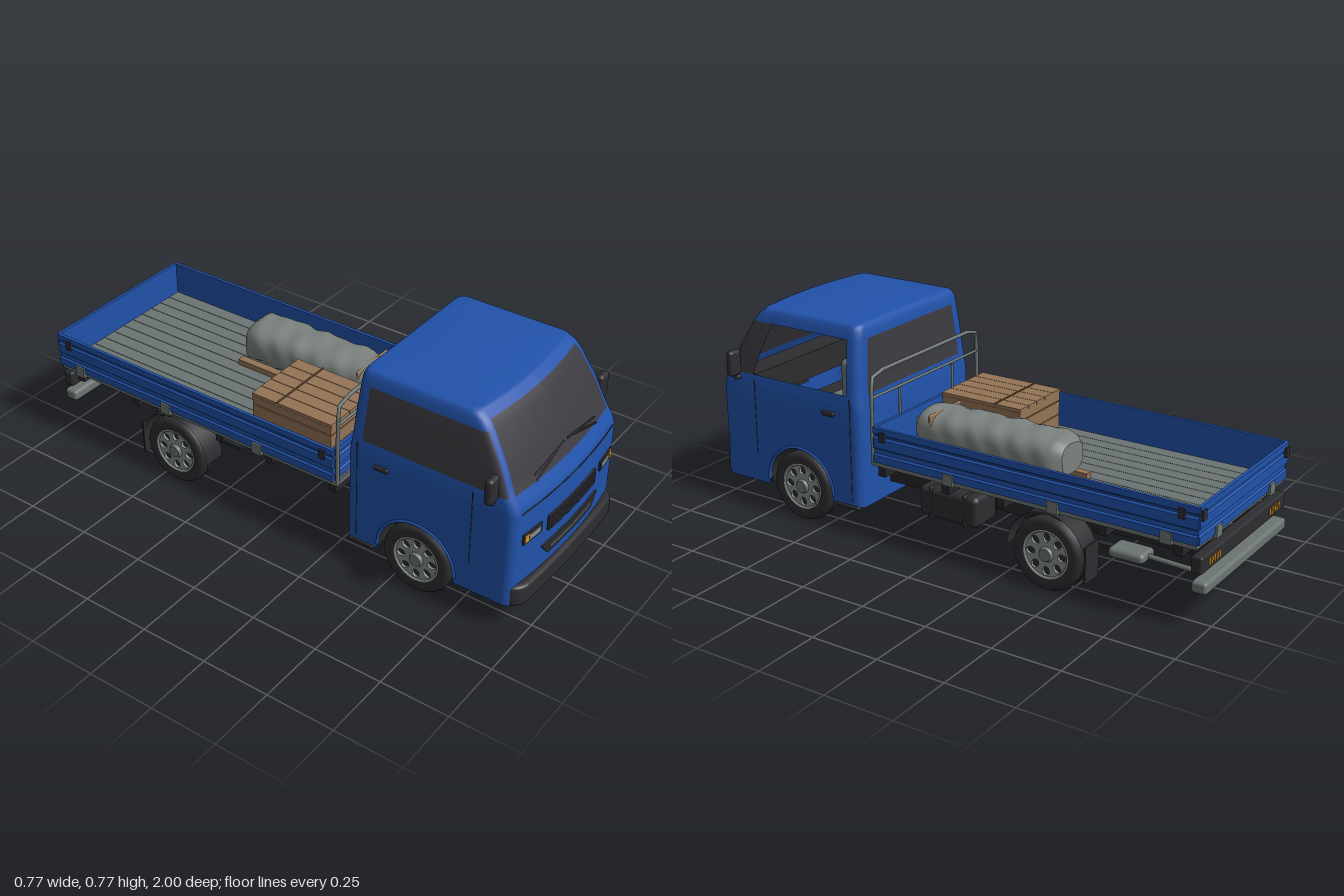
import * as THREE from 'three';
import { RoundedBoxGeometry } from 'three/addons/geometries/RoundedBoxGeometry.js';

const mat = (name, color, side = THREE.FrontSide) => {
  const m = new THREE.MeshStandardMaterial({ color, side });
  m.name = name;
  return m;
};
const blue = mat('blue paint', 0x2152aa, THREE.DoubleSide);
const glass = mat('dark glass', 0x3a3a40, THREE.DoubleSide);
const black = mat('black trim', 0x2d2d31, THREE.DoubleSide);
const chassisMat = mat('chassis', 0x26272b);
const steel = mat('steel', 0x6c7573);
const silver = mat('silver', 0x868d89);
const tarp = mat('canvas', 0x7b827e);
const wood = mat('wood', 0x947355);
const darkWood = mat('dark wood', 0x6b5039);
const amber = mat('amber', 0xdb982f);

// Cab profile rows: height, front z, back z, half width
const PROFILE = [
  [0.11, 0.98, 0.322, 0.335], [0.46, 0.98, 0.322, 0.335], [0.49, 0.97, 0.326, 0.333],
  [0.52, 0.95, 0.33, 0.33], [0.62, 0.905, 0.336, 0.318], [0.715, 0.85, 0.343, 0.304],
  [0.742, 0.828, 0.346, 0.298], [0.757, 0.808, 0.352, 0.292],
];
const R = 0.032, BULGE = 0.022, ARCH = 0.146, AXLES = [0.6, -0.433], HUB = 0.131;
const lerp = THREE.MathUtils.lerp;

function section(y) {
  let i = 1;
  while (i < PROFILE.length - 1 && PROFILE[i][0] < y) i++;
  const a = PROFILE[i - 1], b = PROFILE[i];
  const k = THREE.MathUtils.clamp((y - a[0]) / (b[0] - a[0]), 0, 1);
  return [1, 2, 3].map((n) => lerp(a[n], b[n], k));
}
function frontZ(x, y) {
  const [zf, , w] = section(y);
  return zf - BULGE * Math.min(1, (x / (w - R)) ** 2);
}

function add(parent, name, geometry, material, x = 0, y = 0, z = 0) {
  const m = new THREE.Mesh(geometry, material);
  m.name = name;
  m.position.set(x, y, z);
  parent.add(m);
  return m;
}
const box = (p, name, material, w, h, d, x, y, z) => add(p, name, new THREE.BoxGeometry(w, h, d), material, x, y, z);
const rounded = (p, name, material, w, h, d, r, x, y, z) => add(p, name, new RoundedBoxGeometry(w, h, d, 3, r), material, x, y, z);
function tube(p, name, material, pts, r) {
  const path = new THREE.CurvePath();
  const v = pts.map((q) => new THREE.Vector3(...q));
  for (let i = 1; i < v.length; i++) path.add(new THREE.LineCurve3(v[i - 1], v[i]));
  return add(p, name, new THREE.TubeGeometry(path, (v.length - 1) * 4, r, 8), material);
}
// Plate that follows the curve of the cab front; taper narrows its lower edge
function frontPlate(p, name, material, w, h, d, x, y, lift = 0, taper = 0) {
  const g = new THREE.BoxGeometry(w, h, d, 10, 1, 1), a = g.attributes.position;
  for (let i = 0; i < a.count; i++) {
    const px = x + a.getX(i) * (a.getY(i) < 0 ? 1 - taper : 1), py = y + a.getY(i);
    a.setXYZ(i, px, py, a.getZ(i) + frontZ(px, py) + lift);
  }
  g.computeVertexNormals();
  return add(p, name, g, material);
}

// One half of the cab skin: columns run from front centre to back centre, rows run upwards
function cabHalf(side) {
  const cols = [];
  const col = (kind, f, yb = 0.11) => cols.push({ kind, f, yb });
  [0, 0.35, 0.7, 1].forEach((s) => col(s < 1 ? 'windscreen' : 'pillar', (zf, zb, w) => [s * (w - R), zf - BULGE * s * s]));
  [1, 2, 3, 4].forEach((k) => {
    const a = k * Math.PI / 8;
    col(k < 2 ? 'pillar' : 'quarter', (zf, zb, w) => [w - R + R * Math.sin(a), zf - BULGE - R + R * Math.cos(a)]);
  });
  const z0 = 0.98 - BULGE - R, z1 = 0.322 + R;
  const sideCol = (kind, z, yb) => {
    const t = (z0 - z) / (z0 - z1);
    col(kind, (zf, zb, w) => [w, lerp(zf - BULGE - R, zb + R, t)], yb);
  };
  [0.88, 0.83, 0.79, AXLES[0] + ARCH + 0.0005].forEach((z) => sideCol(z > 0.84 ? 'quarter' : 'door', z));
  for (let k = 0; k <= 16; k++) {
    const a = k * Math.PI / 16;
    sideCol('door', AXLES[0] + ARCH * Math.cos(a), HUB + ARCH * Math.sin(a));
  }
  [AXLES[0] - ARCH - 0.0005, 0.41, 0.375, z1].forEach((z) => sideCol(z > 0.38 ? 'door' : 'post', z));
  [1, 2, 3, 4].forEach((k) => {
    const a = k * Math.PI / 8;
    col('post', (zf, zb, w) => [w - R + R * Math.cos(a), zb + R - R * Math.sin(a)]);
  });
  [0.92, 0.45, 0].forEach((s) => col('rear', (zf, zb, w) => [s * (w - R), zb]));

  const upper = [0.49, 0.52, 0.57, 0.62, 0.67, 0.715, 0.742, 0.757];
  const roof = [[0.975, 0.764], [0.93, 0.768], [0.75, 0.771], [0.4, 0.772], [0, 0.773]];
  const rows = 5 + upper.length + roof.length, pos = [], paint = [], panes = [];
  cols.forEach(({ f, yb }) => {
    const put = (y, s = 1, top = y) => {
      const [x, z] = f(...section(y));
      pos.push(side * x * s, top, 0.58 + (z - 0.58) * s);
    };
    for (let k = 0; k <= 4; k++) put(lerp(yb, 0.46, k / 4));
    upper.forEach((y) => put(y));
    roof.forEach(([s, y]) => put(0.757, s, y));
  });
  for (let i = 0; i < cols.length - 1; i++) for (let j = 0; j < rows - 1; j++) {
    const kind = cols[i].kind;
    const pane = j >= 6 && j < (kind === 'windscreen' ? 11 : 10) && kind !== 'pillar' && kind !== 'post';
    if (pane && kind === 'door' && side > 0) continue; // left door window is wound down
    const a = i * rows + j, b = a + rows, c = b + 1, d = a + 1;
    (pane ? panes : paint).push(...(side > 0 ? [a, b, c, a, c, d] : [a, c, b, a, d, c]));
  }
  const g = new THREE.BufferGeometry();
  g.setAttribute('position', new THREE.Float32BufferAttribute(pos, 3));
  g.setIndex([...paint, ...panes]);
  g.addGroup(0, paint.length, 0);
  g.addGroup(paint.length, panes.length, 1);
  g.computeVertexNormals();
  return g;
}

function wheel(parent, name, side, z) {
  const w = new THREE.Group();
  w.name = name;
  const half = [[0.083, 0.034], [0.112, 0.0375], [0.125, 0.032], [0.131, 0.02], [0.131, 0.005], [0.126, 0.003]];
  const pts = [...half.map(([r, x]) => [r, -x]), ...half.slice().reverse()].map((q) => new THREE.Vector2(...q));
  add(w, 'tyre', new THREE.LatheGeometry(pts, 36).rotateZ(-Math.PI / 2), black);
  add(w, 'wheelBack', new THREE.CylinderGeometry(0.085, 0.085, 0.03, 32).rotateZ(Math.PI / 2), black);
  const s = new THREE.Shape().absarc(0, 0, 0.086, 0, Math.PI * 2);
  for (let k = 0; k < 8; k++) {
    const a = k * Math.PI / 4;
    s.holes.push(new THREE.Path().absellipse(0.06 * Math.cos(a), 0.06 * Math.sin(a), 0.016, 0.013, 0, Math.PI * 2, true, a));
  }
  add(w, 'rim', new THREE.ExtrudeGeometry(s, { depth: 0.01, bevelEnabled: false, curveSegments: 24 }).rotateY(Math.PI / 2), silver, 0.02);
  add(w, 'rimLip', new THREE.TorusGeometry(0.084, 0.005, 8, 32).rotateY(Math.PI / 2), silver, 0.031);
  add(w, 'hub', new THREE.CylinderGeometry(0.022, 0.028, 0.012, 16).rotateZ(-Math.PI / 2), steel, 0.035);
  w.position.set(side * 0.296, HUB, z);
  if (side < 0) w.rotation.y = Math.PI;
  parent.add(w);
}
const archShell = (r, len) => new THREE.CylinderGeometry(r, r, len, 24, 1, true, 0, Math.PI).rotateZ(Math.PI / 2);

// Ribbed drop side, facing +x before turning
function dropSide(p, name, len, x, z, turn) {
  const pts = [[-0.012, 0.303], [0, 0.303], [0, 0.33], [-0.006, 0.336], [-0.006, 0.352], [0, 0.358], [0, 0.392], [-0.006, 0.398], [-0.006, 0.404], [0, 0.41], [0, 0.432], [-0.012, 0.432]];
  const s = new THREE.Shape(pts.map((q) => new THREE.Vector2(...q)));
  const g = new THREE.ExtrudeGeometry(s, { depth: len, bevelEnabled: false }).translate(0, 0, -len / 2);
  add(p, name, g, blue, x, 0, z).rotation.y = turn;
}

// Lumpy rolled canvas, lofted along z
function bundleGeometry() {
  const n = 28, m = 28, g = new THREE.CylinderGeometry(1, 1, 1, m, n).rotateX(Math.PI / 2), a = g.attributes.position;
  for (let i = 0; i < a.count; i++) {
    const t = a.getZ(i) * 2, x = a.getX(i), y = a.getY(i), ang = Math.atan2(y, x);
    const end = Math.pow(Math.max(0, 1 - Math.abs(t) ** 14), 0.5) * 0.3 + 0.7;
    const lump = 1 + 0.035 * Math.sin(t * 13 + 2 * ang) + 0.025 * Math.sin(t * 21 - ang * 3) - 0.04 * Math.exp(-(((t - 0.68) * 14) ** 2));
    const sq = 1 / Math.pow(Math.abs(Math.cos(ang)) ** 3 + Math.abs(Math.sin(ang)) ** 3, 1 / 3);
    const r = Math.hypot(x, y) * end * lump * sq;
    a.setXYZ(i, Math.cos(ang) * r * 0.097, Math.sin(ang) * r * 0.075, t * 0.295);
  }
  g.computeVertexNormals();
  return g;
}

export function createModel() {
  const truck = new THREE.Group();
  truck.name = 'flatbedTruck';
  const part = (name) => { const g = new THREE.Group(); g.name = name; truck.add(g); return g; };
  const cab = part('cab'), bed = part('cargoBed'), frame = part('chassis'), cargo = part('cargo'), wheels = part('wheels');

  // Cab skin and interior
  box(cab, 'cabFloor', black, 0.46, 0.02, 0.62, 0, 0.12, 0.64);
  box(cab, 'frontFloor', black, 0.62, 0.02, 0.17, 0, 0.12, 0.84);
  box(cab, 'rearFloor', black, 0.64, 0.02, 0.11, 0, 0.12, 0.39);
  box(cab, 'interiorFloor', black, 0.64, 0.01, 0.55, 0, 0.3, 0.63);
  box(cab, 'dashboard', black, 0.6, 0.1, 0.1, 0, 0.46, 0.87);
  for (const s of [1, -1]) {
    add(cab, s > 0 ? 'leftCabSkin' : 'rightCabSkin', cabHalf(s), [blue, glass]);
    rounded(cab, 'seatCushion', steel, 0.2, 0.06, 0.2, 0.02, s * 0.16, 0.4, 0.52);
    rounded(cab, 'seatBack', steel, 0.2, 0.21, 0.05, 0.02, s * 0.16, 0.515, 0.44);
    rounded(cab, 'headrest', steel, 0.12, 0.07, 0.04, 0.018, s * 0.16, 0.655, 0.44);
    add(cab, 'wheelWell', archShell(ARCH, 0.13), black, s * 0.268, HUB, AXLES[0]);
    add(cab, 'archLip', new THREE.TorusGeometry(ARCH + 0.004, 0.006, 6, 28, Math.PI).rotateY(Math.PI / 2), blue, s * 0.334, HUB, AXLES[0]);
    rounded(cab, 'mirror', black, 0.056, 0.095, 0.03, 0.013, s * 0.355, 0.558, 0.875);
    tube(cab, 'mirrorArm', black, [[s * 0.32, 0.5, 0.87], [s * 0.35, 0.5, 0.875], [s * 0.352, 0.53, 0.875]], 0.008);
    rounded(cab, 'doorHandle', black, 0.012, 0.018, 0.055, 0.005, s * 0.337, 0.442, 0.46);
    for (const [z, y, h] of [[0.8, 0.36, 0.28], [0.365, 0.32, 0.38]]) box(cab, 'doorSeam', black, 0.003, h, 0.003, s * 0.335, y, z);
    rounded(cab, 'step', black, 0.1, 0.015, 0.1, 0.006, s * 0.29, 0.107, 0.385);

    // Headlights and wipers
    frontPlate(cab, 'headlightHousing', black, 0.096, 0.038, 0.012, s * 0.242, 0.359);
    frontPlate(cab, 'headlightLens', silver, 0.06, 0.022, 0.006, s * 0.233, 0.358, 0.005);
    frontPlate(cab, 'indicator', amber, 0.02, 0.028, 0.007, s * 0.277, 0.361, 0.006);
    const on = (x, y) => [s * x, y, frontZ(x, y) + 0.005];
    tube(cab, 'wiperArm', black, [on(0.01, 0.566), on(0.1, 0.556), on(0.195, 0.543)], 0.003);
    tube(cab, 'wiperBlade', black, [on(0.05, 0.56), on(0.12, 0.544), on(0.195, 0.525)], 0.003);
  }
  frontPlate(cab, 'panelSeam', black, 0.6, 0.003, 0.003, 0, 0.463);
  frontPlate(cab, 'upperGrille', black, 0.31, 0.057, 0.014, 0, 0.349);
  for (let k = 0; k < 4; k++) frontPlate(cab, 'grilleSlat', glass, 0.285, 0.006, 0.004, 0, 0.33 + k * 0.0125, 0.008);
  frontPlate(cab, 'lowerGrille', black, 0.365, 0.044, 0.014, 0, 0.248, 0, 0.2);
  frontPlate(cab, 'lowerGrilleBar', steel, 0.28, 0.008, 0.004, 0, 0.248, 0.008);

  // Front bumper, wrapped round the corners
  const b = new THREE.Shape();
  b.moveTo(-0.312, -0.895);
  b.lineTo(0.312, -0.895);
  b.lineTo(0.312, -0.935);
  b.quadraticCurveTo(0.31, -0.968, 0.27, -0.975);
  b.quadraticCurveTo(0, -0.992, -0.27, -0.975);
  b.quadraticCurveTo(-0.31, -0.968, -0.312, -0.935);
  add(cab, 'frontBumper', new THREE.ExtrudeGeometry(b, { depth: 0.05, bevelSize: 0.014, bevelThickness: 0.015, bevelSegments: 3 }).rotateX(-Math.PI / 2), black, 0, 0.12, 0);

  // Bed floor, sides and headboard
  box(bed, 'bedBase', steel, 0.655, 0.014, 1.25, 0, 0.293, -0.345);
  for (let k = 0; k < 12; k++) box(bed, 'floorPlank', steel, 0.0515, 0.008, 1.24, (k - 5.5) * 0.0535, 0.303, -0.345);
  dropSide(bed, 'leftDropSide', 1.24, 0.335, -0.355, 0);
  dropSide(bed, 'rightDropSide', 1.24, -0.335, -0.355, Math.PI);
  dropSide(bed, 'tailgate', 0.655, 0, -0.98, Math.PI / 2);
  dropSide(bed, 'frontBoard', 0.645, 0, 0.27, -Math.PI / 2);
  tube(bed, 'headboardFrame', steel, [[0.32, 0.29, 0.278], [0.32, 0.595, 0.278], [0.3, 0.617, 0.278], [-0.3, 0.617, 0.278], [-0.32, 0.595, 0.278], [-0.32, 0.29, 0.278]], 0.007);
  tube(bed, 'headboardRail', steel, [[0.32, 0.53, 0.278], [-0.32, 0.53, 0.278]], 0.005);
  for (const s of [1, -1]) {
    tube(bed, 'headboardPost', steel, [[s * 0.16, 0.42, 0.278], [s * 0.16, 0.53, 0.278]], 0.005);
    for (const z of [0.225, -0.92]) box(bed, 'latch', black, 0.012, 0.035, 0.022, s * 0.336, 0.402, z);
    for (const z of [-0.05, -0.46, -0.87]) box(bed, 'hinge', steel, 0.014, 0.04, 0.04, s * 0.335, 0.308, z);
    box(bed, 'tailHinge', steel, 0.04, 0.04, 0.014, s * 0.2, 0.308, -0.98);
    box(bed, 'tailLatch', black, 0.025, 0.035, 0.012, s * 0.31, 0.402, -0.981);
  }

  // Chassis rails, cross members, axles and underside fittings
  for (const s of [1, -1]) {
    box(frame, 'rail', chassisMat, 0.035, 0.085, 0.85, s * 0.15, 0.203, 0.09);
    box(frame, 'rearRail', chassisMat, 0.035, 0.06, 0.65, s * 0.15, 0.216, -0.63);
    add(frame, 'rearFender', archShell(0.15, 0.085), black, s * 0.29, HUB, AXLES[1]);
    box(frame, 'mudFlap', black, 0.085, 0.13, 0.006, s * 0.29, 0.13, -0.582);
    box(frame, 'leafSpring', chassisMat, 0.03, 0.015, 0.4, s * 0.19, 0.15, AXLES[1]);
    for (let k = 0; k < 5; k++) box(frame, 'tailLight', amber, 0.011, 0.024, 0.006, s * (0.19 + k * 0.018), 0.228, -0.986);
  }
  for (const z of [0.25, -0.02, -0.24, -0.46, -0.63, -0.9]) box(frame, 'crossMember', chassisMat, 0.62, 0.045, 0.03, 0, 0.265, z);
  for (const z of [0.2, -0.2, -0.7]) box(frame, 'railBrace', chassisMat, 0.3, 0.05, 0.03, 0, 0.215, z);
  AXLES.forEach((z) => add(frame, 'axle', new THREE.CylinderGeometry(0.018, 0.018, 0.54, 12).rotateZ(Math.PI / 2), chassisMat, 0, HUB, z));
  add(frame, 'differential', new THREE.SphereGeometry(0.043, 20, 14).scale(1.1, 1, 1.1), chassisMat, 0, HUB, AXLES[1]);
  tube(frame, 'driveShaft', chassisMat, [[0, 0.16, 0.35], [0, HUB, AXLES[1]]], 0.013);
  rounded(frame, 'fuelTank', black, 0.13, 0.112, 0.24, 0.02, 0.235, 0.188, -0.02);
  for (const z of [0.05, -0.09]) rounded(frame, 'tankStrap', chassisMat, 0.136, 0.118, 0.014, 0.006, 0.235, 0.188, z);
  rounded(frame, 'muffler', steel, 0.09, 0.035, 0.13, 0.015, 0.22, 0.166, -0.69);
  tube(frame, 'exhaustPipe', steel, [[0.22, 0.168, -0.74], [0.22, 0.16, -0.95]], 0.009);
  rounded(frame, 'lightBar', black, 0.63, 0.06, 0.04, 0.008, 0, 0.228, -0.966);
  rounded(frame, 'rearBumper', steel, 0.61, 0.042, 0.055, 0.012, 0, 0.148, -0.9725);
  for (const s of [1, -1]) box(frame, 'bumperBracket', steel, 0.03, 0.06, 0.02, s * 0.15, 0.18, -0.945);

  // Canvas bundle on two wooden runners
  for (const x of [0.06, 0.215]) box(cargo, 'runner', wood, 0.03, 0.022, 0.62, x, 0.318, -0.125);
  add(cargo, 'canvasBundle', bundleGeometry(), tarp, 0.137, 0.404, -0.12);
  rounded(cargo, 'strap', wood, 0.185, 0.146, 0.012, 0.005, 0.137, 0.403, 0.1);

  // Planked crate
  box(cargo, 'crateCore', darkWood, 0.252, 0.155, 0.32, -0.133, 0.385, 0.045);
  for (let k = 0; k < 5; k++) box(cargo, 'lidPlank', wood, 0.051, 0.012, 0.334, -0.133 + (k - 2) * 0.053, 0.465, 0.045);
  for (const [y, h] of [[0.34, 0.066], [0.4, 0.048], [0.443, 0.03]]) {
    for (const s of [1, -1]) {
      box(cargo, 'crateEndPlank', wood, 0.262, h, 0.006, -0.133, y, 0.045 + s * 0.162);
      box(cargo, 'crateSidePlank', wood, 0.006, h, 0.328, -0.133 + s * 0.128, y, 0.045);
    }
  }
  box(cargo, 'crateStrap', darkWood, 0.27, 0.003, 0.006, -0.133, 0.4725, -0.015);

  for (const s of [1, -1]) AXLES.forEach((z, i) => wheel(wheels, (i ? 'rear' : 'front') + (s > 0 ? 'LeftWheel' : 'RightWheel'), s, z));
  return truck;
}
